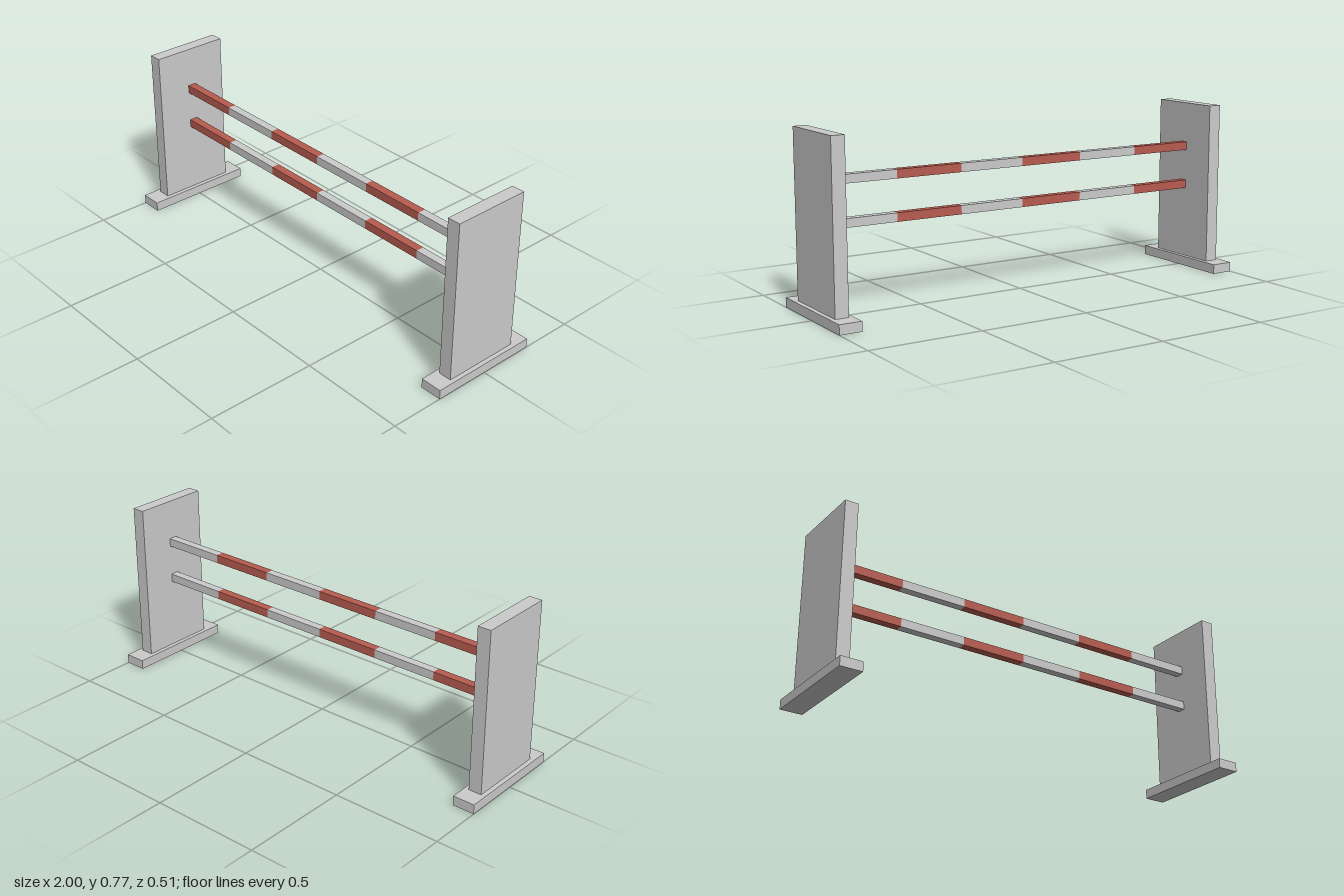
import * as THREE from 'three';

const grey = new THREE.MeshStandardMaterial({ color: 0xcccccc });
const red = new THREE.MeshStandardMaterial({ color: 0xb85c50 });

function box(name, size, position, material = grey) {
  const mesh = new THREE.Mesh(new THREE.BoxGeometry(...size), material);
  mesh.name = name;
  mesh.position.set(...position);
  return mesh;
}

// Upright panel standing on a wider foot
function createStand(name, x) {
  const stand = new THREE.Group();
  stand.name = name;
  stand.add(box('foot', [0.1, 0.043, 0.512], [0, 0.0215, 0]));
  stand.add(box('panel', [0.06, 0.727, 0.356], [0, 0.4065, 0]));
  stand.position.x = x;
  return stand;
}

// Square pole in alternating red and plain bands, red at the -x end
function createPole(name, y) {
  const pole = new THREE.Group();
  pole.name = name;
  const bands = 6, length = 1.84, thickness = 0.038;
  const band = length / bands;
  for (let i = 0; i < bands; i++) {
    const x = -length / 2 + (i + 0.5) * band;
    pole.add(box(i % 2 ? 'plainBand' : 'redBand', [band, thickness, thickness], [x, 0, 0], i % 2 ? grey : red));
  }
  pole.position.y = y;
  return pole;
}

export function createModel() {
  const model = new THREE.Group();
  model.name = 'jumpObstacle';
  model.add(createStand('leftStand', 0.95), createStand('rightStand', -0.95));
  model.add(createPole('upperPole', 0.568), createPole('lowerPole', 0.387));
  return model;
}
